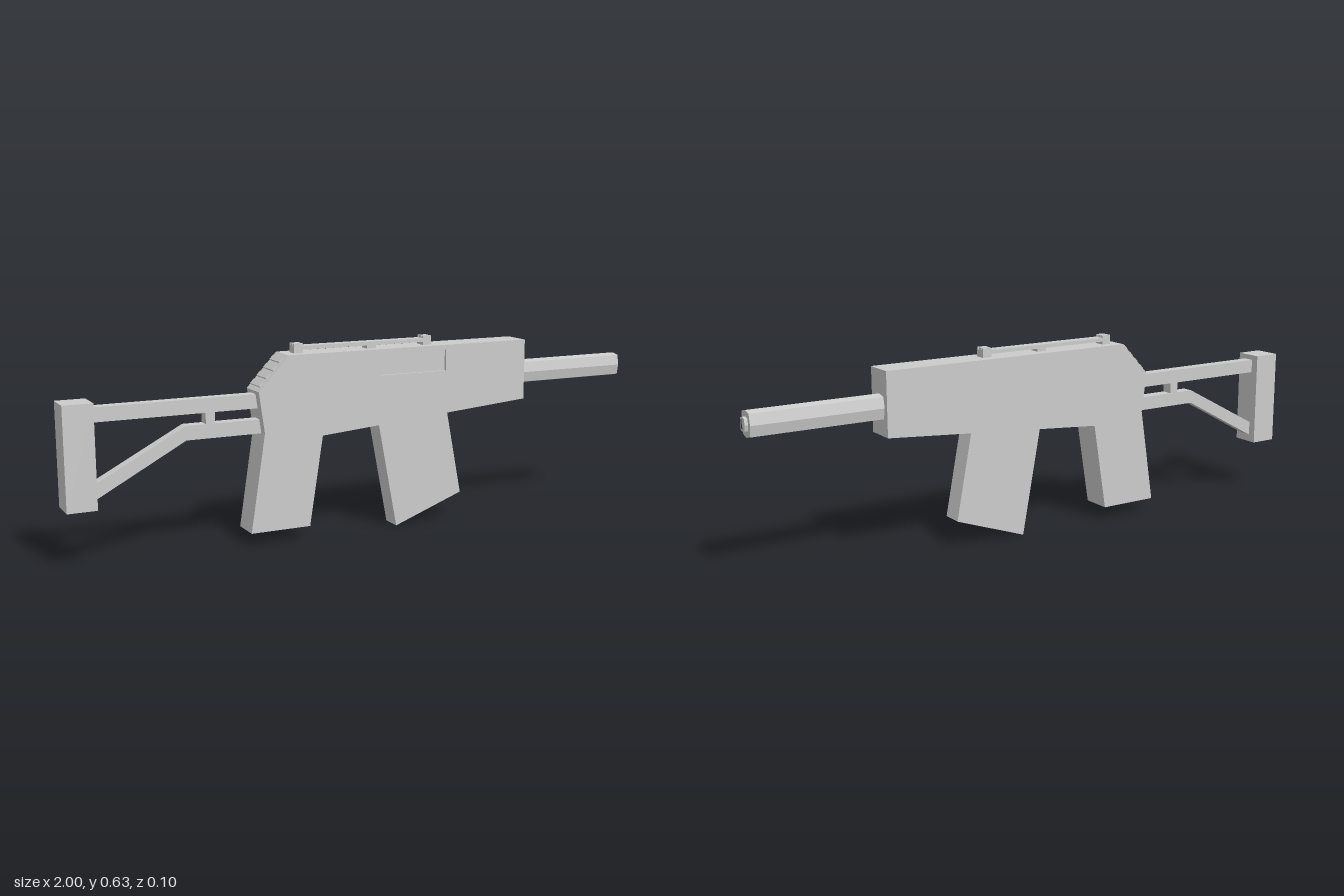
import * as THREE from 'three';

const material = new THREE.MeshStandardMaterial({ color: 0xcccccc, flatShading: true });

export function createModel() {
  const group = new THREE.Group();

  const add = (name, geometry) => {
    const mesh = new THREE.Mesh(geometry, material);
    mesh.name = name;
    group.add(mesh);
    return mesh;
  };

  const toPoints = (list) => list.map(([x, y]) => new THREE.Vector2(x, y));

  // Side outline extruded across the width, from z0 to z1
  const slab = (name, outline, z0, z1, hole) => {
    const shape = new THREE.Shape(toPoints(outline));
    if (hole) shape.holes.push(new THREE.Path(toPoints(hole)));
    const geometry = new THREE.ExtrudeGeometry(shape, { depth: z1 - z0, bevelEnabled: false });
    return add(name, geometry.translate(0, 0, z0));
  };

  // Box given by its limits on each axis
  const block = (name, x0, x1, y0, y1, z0, z1) => {
    const mesh = add(name, new THREE.BoxGeometry(x1 - x0, y1 - y0, z1 - z0));
    mesh.position.set((x0 + x1) / 2, (y0 + y1) / 2, (z0 + z1) / 2);
    return mesh;
  };

  // Receiver and grip in one outline, with a shallow port on the front side
  const body = [
    [-0.43, 0.045], [-0.23, 0.045], [-0.183, 0.335], [0.575, 0.395],
    [0.575, 0.598], [-0.297, 0.598], [-0.398, 0.49], [-0.38, 0.36],
  ];
  const port = [[0.025, 0.513], [0.025, 0.583], [0.265, 0.583], [0.265, 0.513]];
  slab('receiverAndGrip', body, -0.05, 0.042);
  slab('receiverPortSide', body, 0.042, 0.05, port);

  // Magazine
  slab('magazine', [[0.09, 0.002], [0.335, 0.09], [0.275, 0.4], [0.015, 0.4]], -0.035, 0.035);

  // Ribs on the sloping rear of the receiver
  const slope = Math.atan2(0.108, 0.101);
  for (let i = 0; i < 4; i++) {
    const t = 0.17 + i * 0.22;
    const rib = add('rearRib', new THREE.BoxGeometry(0.018, 0.014, 0.074));
    rib.position.set(-0.398 + 0.101 * t, 0.49 + 0.108 * t, 0);
    rib.rotation.z = slope;
  }

  // Sight rail with toothed ends
  block('sightRail', -0.262, 0.222, 0.608, 0.62, -0.018, 0.018);
  block('railFoot', -0.01, 0.022, 0.596, 0.61, -0.018, 0.018);
  for (const x of [-0.265, 0.195]) {
    block('railEnd', x, x + 0.03, 0.596, 0.621, -0.019, 0.019);
    for (const [z, half] of [[-0.0145, 0.004], [0, 0.006], [0.0145, 0.004]]) {
      block('sightTooth', x, x + 0.03, 0.62, 0.628, z - half, z + half);
    }
  }

  // Eight-sided section, slightly taller than wide; maps to y and z after turning
  const octagon = (k) => [
    [0, 0.04], [0.027, 0.034], [0.034, 0], [0.027, -0.034],
    [0, -0.04], [-0.027, -0.034], [-0.034, 0], [-0.027, 0.034],
  ].map(([z, y]) => [z * k, y * k]);

  // Prism along x with an optional bore
  const tube = (name, outer, inner, x0, x1) => {
    const shape = new THREE.Shape(toPoints(octagon(outer)));
    if (inner) shape.holes.push(new THREE.Path(toPoints(octagon(inner))));
    const geometry = new THREE.ExtrudeGeometry(shape, { depth: x1 - x0, bevelEnabled: false });
    geometry.rotateY(Math.PI / 2).translate(x0, 0.483, 0);
    return add(name, geometry);
  };
  tube('barrel', 1, 0, 0.56, 0.975);
  tube('barrelEnd', 1, 0.4, 0.975, 0.99);
  tube('muzzleRim', 0.54, 0.4, 0.985, 1);

  // Skeleton stock
  block('stockUpperBar', -0.92, -0.38, 0.435, 0.48, -0.019, 0.019);
  block('stockStrut', -0.56, -0.53, 0.39, 0.445, -0.019, 0.019);
  slab('stockLowerBar', [
    [-0.92, 0.195], [-0.623, 0.355], [-0.37, 0.355],
    [-0.37, 0.4], [-0.623, 0.4], [-0.92, 0.243],
  ], -0.019, 0.019);
  block('buttPlate', -1, -0.908, 0.177, 0.497, -0.046, 0.046);

  return group;
}
